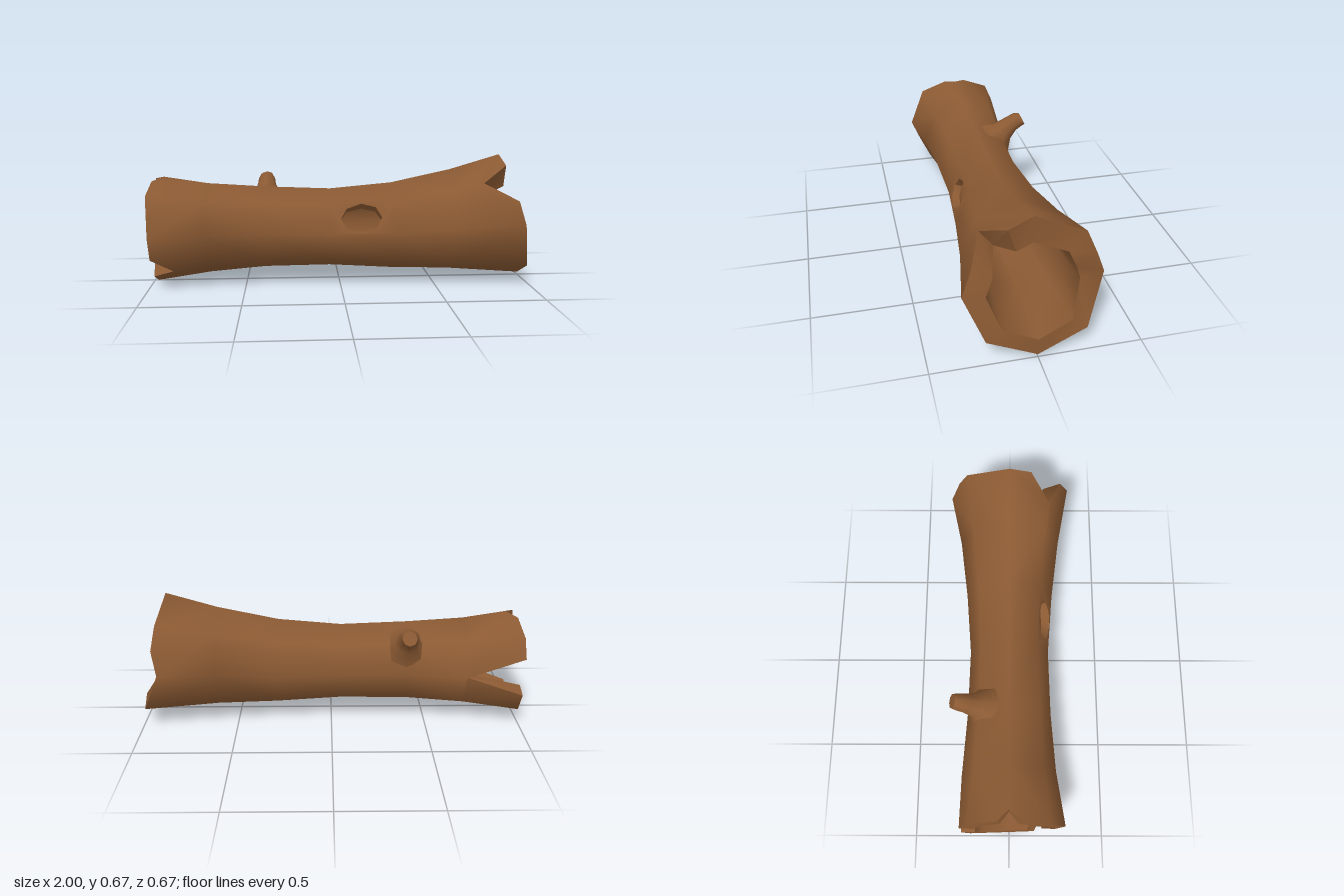
import * as THREE from 'three';
import { toCreasedNormals } from 'three/addons/utils/BufferGeometryUtils.js';

const SIDES = 8;
// Stations along the log: x, outer centre y, outer radius, inner centre y, inner radius
const STATIONS = [
  [-1, 0.293, 0.29, 0.29, 0.205],
  [-0.7, 0.292, 0.243, 0.29, 0.183],
  [-0.4, 0.295, 0.22, 0.29, 0.176],
  [-0.05, 0.29, 0.211, 0.29, 0.175],
  [0.28, 0.295, 0.236, 0.292, 0.182],
  [0.6, 0.325, 0.275, 0.305, 0.2],
  [0.87, 0.345, 0.335, 0.326, 0.22],
  [1, 0.355, 0.335, 0.342, 0.235],
];
// Broken ends with V notches, as [u, x]; u counts sides from the top towards +z
const LEFT_END = [
  [0, -0.93], [0.3, -0.985], [1, -0.995], [2, -0.98], [2.6, -0.98], [3, -0.87], [3.35, -0.98], [4, -0.98],
  [5, -0.995], [5.5, -1], [6, -0.71], [6.5, -1], [7, -0.995], [7.7, -0.985], [8, -0.93],
];
const RIGHT_END = [
  [0, 0.87], [0.5, 0.88], [1, 0.74], [1.5, 0.91], [2, 0.935], [3, 0.98],
  [4, 1], [5, 0.98], [6, 0.88], [6.5, 0.91], [7, 0.89], [8, 0.87],
];

// Point on the outer or inner skin; flat between the eight ridges
function skin(x, u, inner) {
  let i = 0;
  while (i < STATIONS.length - 2 && x > STATIONS[i + 1][0]) i++;
  const a = STATIONS[i], b = STATIONS[i + 1];
  const t = (x - a[0]) / (b[0] - a[0]);
  const c = inner ? 3 : 1;
  const cy = THREE.MathUtils.lerp(a[c], b[c], t);
  const r = THREE.MathUtils.lerp(a[c + 1], b[c + 1], t);
  const ridge = k => {
    const ang = (k * Math.PI * 2) / SIDES;
    return new THREE.Vector3(x, cy + r * Math.cos(ang), r * Math.sin(ang));
  };
  const k = Math.floor(u);
  return ridge(k).lerp(ridge(k + 1), u - k);
}

function toGeometry(points, crease) {
  const g = new THREE.BufferGeometry().setFromPoints(points);
  return toCreasedNormals(g, crease);
}

function logGeometry() {
  const tris = [];
  const v = (x, u) => new THREE.Vector2(x, u);

  // Fill a patch of the unrolled skin on both the outside and the inside
  const patch = (contour, holes = []) => {
    const all = [contour, ...holes].flat();
    for (const f of THREE.ShapeUtils.triangulateShape(contour, holes)) {
      let [a, b, c] = f.map(i => all[i]);
      if (THREE.ShapeUtils.area([a, b, c]) < 0) [b, c] = [c, b];
      tris.push(...[a, c, b].map(p => skin(p.x, p.y, false)));
      tris.push(...[a, b, c].map(p => skin(p.x, p.y, true)));
    }
  };
  // Cut face through the wall; the wood lies left of the direction a to b
  const cut = (a, b) => {
    const [oa, ob] = [a, b].map(p => skin(p.x, p.y, false));
    const [ia, ib] = [a, b].map(p => skin(p.x, p.y, true));
    tris.push(oa, ob, ib, oa, ib, ia);
  };

  // Knot hole in the upper front side
  const hole = [];
  for (let i = 0; i < 8; i++) {
    const ang = (-i * Math.PI) / 4;
    hole.push(v(0.107 + 0.107 * Math.cos(ang), 1.51 + 0.46 * Math.sin(ang)));
  }
  hole.forEach((p, i) => cut(p, hole[(i + 1) % hole.length]));

  const xs = STATIONS.slice(1, 6).map(s => s[0]);
  const first = xs[0], last = xs[xs.length - 1];
  for (let k = 0; k < SIDES; k++) {
    const ofSide = end => end.filter(p => p[0] >= k && p[0] <= k + 1).map(p => v(p[1], p[0]));
    patch([v(first, k), v(first, k + 1), ...ofSide(LEFT_END).reverse()]);
    patch([...ofSide(RIGHT_END), v(last, k + 1), v(last, k)]);
    for (let i = 0; i < xs.length - 1; i++) {
      const quad = [v(xs[i], k), v(xs[i + 1], k), v(xs[i + 1], k + 1), v(xs[i], k + 1)];
      patch(quad, k === 1 && i === 2 ? [hole.slice()] : []);
    }
  }
  // End faces
  for (let i = 0; i < LEFT_END.length - 1; i++)
    cut(v(LEFT_END[i + 1][1], LEFT_END[i + 1][0]), v(LEFT_END[i][1], LEFT_END[i][0]));
  for (let i = 0; i < RIGHT_END.length - 1; i++)
    cut(v(RIGHT_END[i][1], RIGHT_END[i][0]), v(RIGHT_END[i + 1][1], RIGHT_END[i + 1][0]));
  return toGeometry(tris, Math.PI / 3.2);
}

// Flared, bent twig: rings of x, y, z, tilt, radius
function stubGeometry() {
  const rings = [
    [-0.39, 0.422, -0.128, 0.78, 0.115],
    [-0.392, 0.462, -0.175, 0.85, 0.066],
    [-0.394, 0.5, -0.222, 0.75, 0.05],
    [-0.394, 0.522, -0.26, 0.5, 0.046],
    [-0.392, 0.529, -0.288, 0.46, 0.038],
  ].map(([x, y, z, t, r]) => {
    const d = new THREE.Vector3(0, Math.sin(t), -Math.cos(t));
    const e1 = new THREE.Vector3(1, 0, 0);
    const e2 = d.clone().cross(e1);
    return Array.from({ length: SIDES }, (_, i) => {
      const a = (i * Math.PI * 2) / SIDES;
      return new THREE.Vector3(x, y, z).addScaledVector(e1, r * Math.cos(a)).addScaledVector(e2, r * Math.sin(a));
    });
  });
  const tris = [];
  const top = rings[rings.length - 1];
  for (let i = 0; i < SIDES; i++) {
    const n = (i + 1) % SIDES;
    for (let j = 0; j < rings.length - 1; j++) {
      const a = rings[j], b = rings[j + 1];
      tris.push(a[i], a[n], b[n], a[i], b[n], b[i]);
    }
    if (i > 0 && n > 0) tris.push(top[0], top[i], top[n]);
  }
  return toGeometry(tris, Math.PI / 3.2);
}

export function createModel() {
  const bark = new THREE.MeshStandardMaterial({ color: 0x8b5a33 });
  bark.name = 'barkBrown';
  const group = new THREE.Group();
  group.name = 'hollowLog';
  const add = (name, geometry) => {
    const mesh = new THREE.Mesh(geometry, bark);
    mesh.name = name;
    group.add(mesh);
  };
  add('trunk', logGeometry());
  add('branchStub', stubGeometry());
  return group;
}
